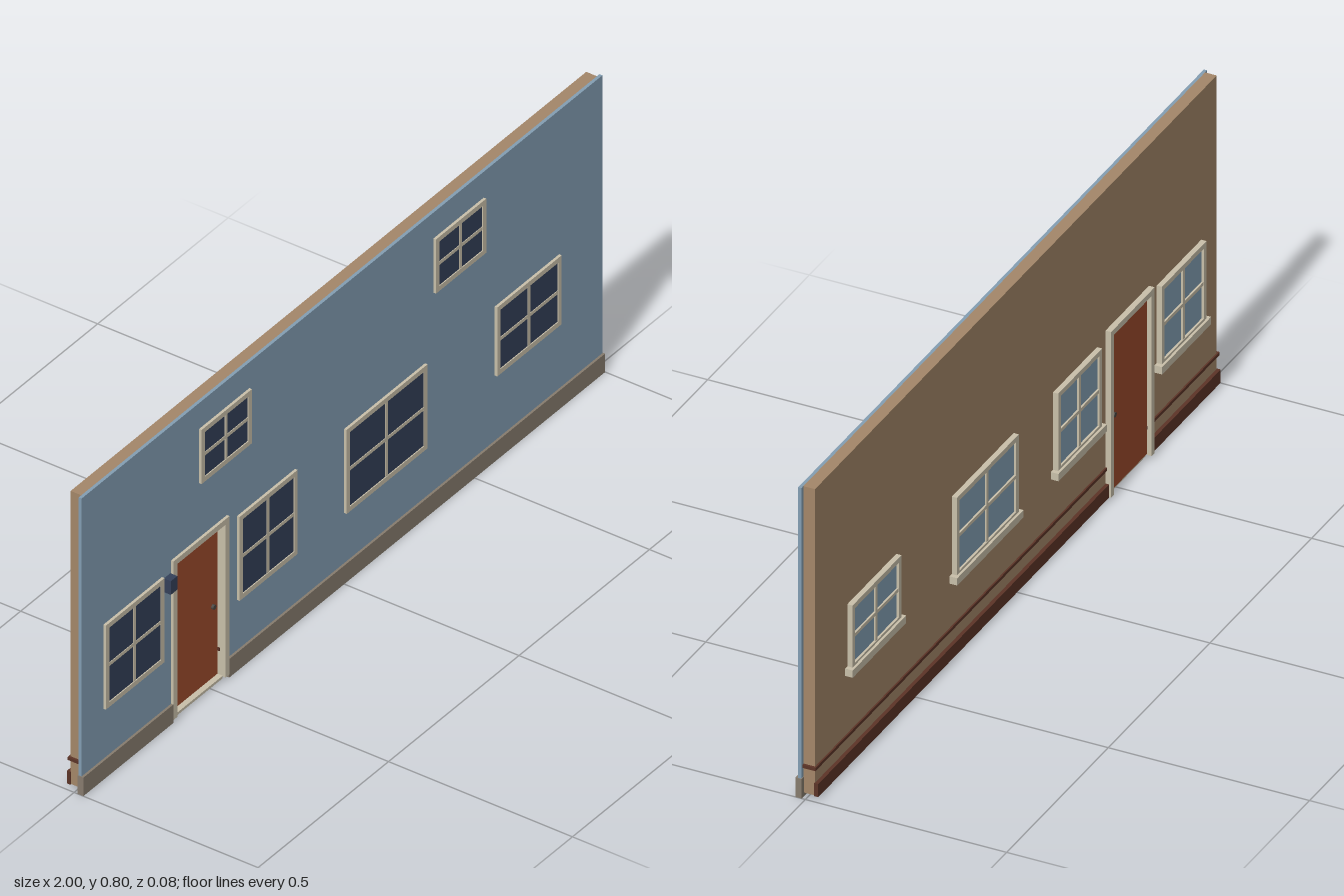
import * as THREE from 'three';

const mat = (name, color) => {
  const m = new THREE.MeshStandardMaterial({ color });
  m.name = name;
  return m;
};

export function createModel() {
  const siding = mat('blue siding', 0x839eb3);
  const plaster = mat('tan plaster', 0xa48769);
  const trim = mat('cream trim', 0xc9c0aa);
  const darkGlass = mat('navy glass', 0x344059);
  const paleGlass = mat('pale glass', 0x83a0b5);
  const doorRed = mat('rust door', 0x9c4a2c);
  const stone = mat('grey stone', 0x877c6e);
  const wood = mat('dark wood', 0x5c3427);
  const metal = mat('dark metal', 0x4a4540);

  const house = new THREE.Group();
  house.name = 'houseFacade';

  // Box given by its minimum and maximum along each axis
  const box = (parent, name, material, x0, x1, y0, y1, z0, z1) => {
    const mesh = new THREE.Mesh(new THREE.BoxGeometry(x1 - x0, y1 - y0, z1 - z0), material);
    mesh.position.set((x0 + x1) / 2, (y0 + y1) / 2, (z0 + z1) / 2);
    mesh.name = name;
    parent.add(mesh);
    return mesh;
  };

  const door = { x0: -0.655, x1: -0.441, top: 0.44 };
  const jamb = 0.015;

  // Wall slab with a notch for the doorway
  const slab = (name, material, halfWidth, z0, z1) => {
    const s = new THREE.Shape();
    [[-halfWidth, 0.01], [door.x0 + 0.005, 0.01], [door.x0 + 0.005, door.top - 0.005],
      [door.x1 - 0.005, door.top - 0.005], [door.x1 - 0.005, 0.01], [halfWidth, 0.01],
      [halfWidth, 0.805], [-halfWidth, 0.805]]
      .forEach(([x, y], i) => (i ? s.lineTo(x, y) : s.moveTo(x, y)));
    const mesh = new THREE.Mesh(
      new THREE.ExtrudeGeometry(s, { depth: z1 - z0, bevelEnabled: false }), material);
    mesh.position.z = z0;
    mesh.name = name;
    house.add(mesh);
  };
  slab('innerWall', plaster, 0.988, -0.018, 0.011);
  slab('outerSiding', siding, 0.998, 0.011, 0.019);

  // Frame border, glass pane and crossed glazing bars
  const windowUnit = (name, x0, x1, y0, y1, z0, z1, glass) => {
    const g = new THREE.Group();
    g.name = name;
    house.add(g);
    const t = 0.013, b = 0.0045;
    const cx = (x0 + x1) / 2, cy = (y0 + y1) / 2, zm = (z0 + z1) / 2;
    box(g, 'frameLeft', trim, x1 - t, x1, y0, y1, z0, z1);
    box(g, 'frameRight', trim, x0, x0 + t, y0, y1, z0, z1);
    box(g, 'frameTop', trim, x0 + t, x1 - t, y1 - t, y1, z0, z1);
    box(g, 'frameBottom', trim, x0 + t, x1 - t, y0, y0 + t, z0, z1);
    box(g, 'glass', glass, x0 + t, x1 - t, y0 + t, y1 - t, zm - 0.0015, zm + 0.0015);
    box(g, 'barUpright', trim, cx - b, cx + b, y0 + t, y1 - t, z0 + 0.001, z1 - 0.001);
    box(g, 'barAcross', trim, x0 + t, x1 - t, cy - b, cy + b, z0 + 0.001, z1 - 0.001);
  };

  // Ground floor windows, seen on both sides, with sills inside
  [[-0.915, -0.69, 0.187, 0.2], [-0.402, -0.18, 0.187, 0.2],
    [0.008, 0.318, 0.187, 0.2], [0.585, 0.832, 0.228, 0.24]].forEach(([x0, x1, y0, sill], i) => {
    windowUnit('frontWindow' + (i + 1), x0, x1, y0, 0.415, 0.018, 0.026, darkGlass);
    windowUnit('backWindow' + (i + 1), x0 + 0.003, x1 - 0.003, sill + 0.012, 0.42, -0.031, -0.017, paleGlass);
    box(house, 'sill', trim, x0 - 0.008, x1 + 0.008, sill, sill + 0.019, -0.037, -0.017);
  });

  // Upper windows, on the front only
  [[-0.548, -0.355], [0.35, 0.543]].forEach(([x0, x1], i) =>
    windowUnit('upperWindow' + (i + 1), x0, x1, 0.588, 0.735, 0.018, 0.026, darkGlass));

  // Door, frame and threshold
  const inL = door.x1 - jamb, inR = door.x0 + jamb;
  box(house, 'doorJambLeft', trim, inL, door.x1, 0.01, door.top, -0.032, 0.026);
  box(house, 'doorJambRight', trim, door.x0, inR, 0.01, door.top, -0.032, 0.026);
  box(house, 'doorHead', trim, inR, inL, door.top - jamb, door.top, -0.032, 0.026);
  box(house, 'threshold', trim, inR, inL, 0.005, 0.012, -0.017, 0.018);
  box(house, 'doorPanel', doorRed, inR, inL, 0.012, door.top - jamb, -0.02, 0.004);

  // Door knobs on both faces
  [-0.022, 0.006].forEach((z) => {
    const knob = new THREE.Mesh(new THREE.CylinderGeometry(0.006, 0.006, 0.008, 12), metal);
    knob.rotation.x = Math.PI / 2;
    knob.position.set(-0.475, 0.205, z);
    knob.name = 'doorKnob';
    house.add(knob);
  });

  // Plinth, skirting and rail on either side of the door
  [[-1, door.x0], [door.x1, 1]].forEach(([x0, x1], i) => {
    const a = i ? x0 : x0 + 0.01, b = i ? x1 - 0.01 : x1;
    box(house, 'stonePlinth', stone, x0, x1, 0.001, 0.051, 0.009, 0.025);
    box(house, 'skirting', wood, a, b, 0.009, 0.043, -0.027, -0.017);
    box(house, 'wallRail', wood, i ? inL - 0.003 : a - 0.004, i ? b + 0.004 : inR + 0.003,
      0.077, 0.085, -0.022, 0.0105);
  });

  // Wall lamp beside the door
  box(house, 'wallLamp', darkGlass, -0.683, -0.658, 0.37, 0.407, 0.018, 0.038);

  return house;
}
